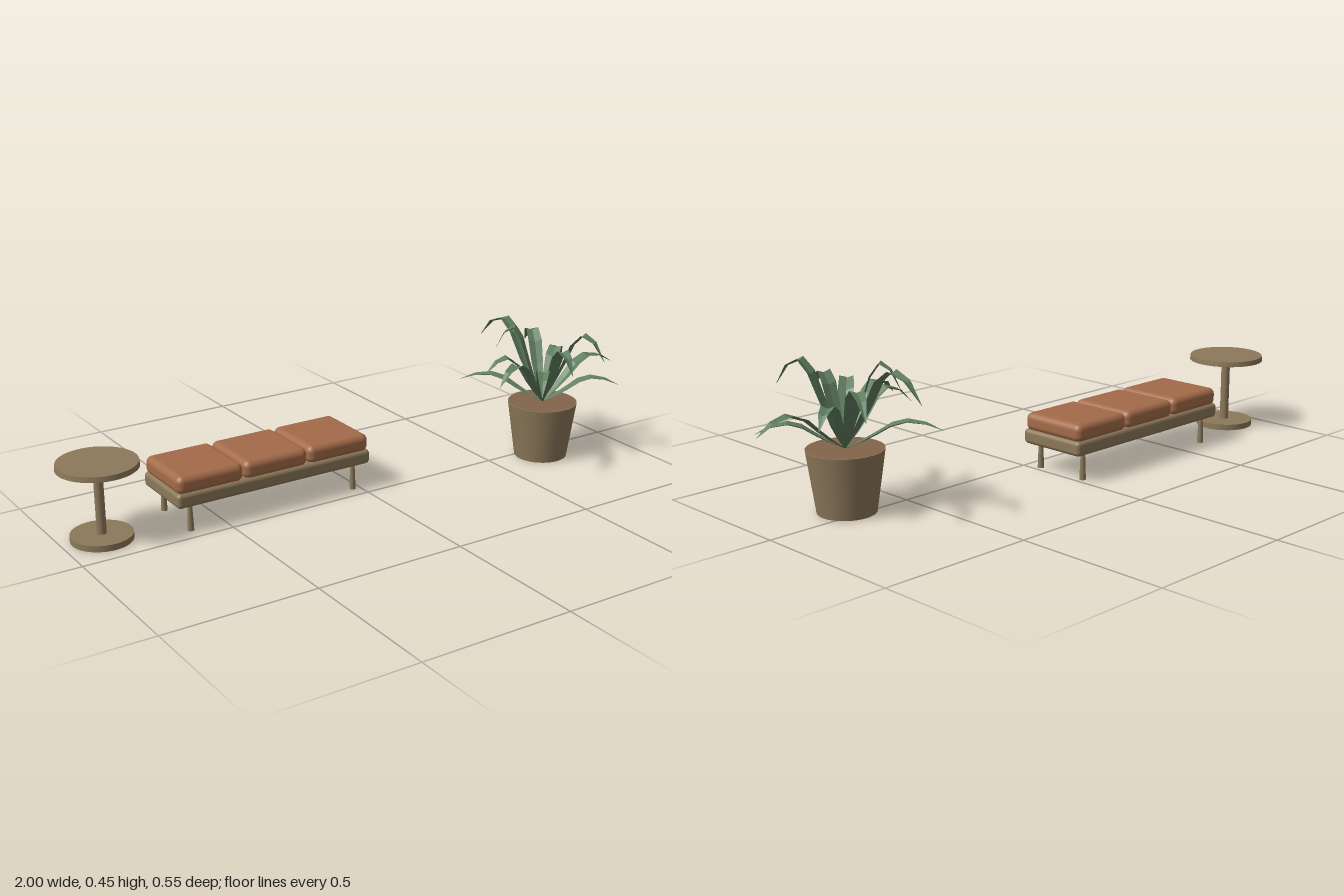
import * as THREE from 'three';
import { RoundedBoxGeometry } from 'three/addons/geometries/RoundedBoxGeometry.js';

const material = (name, color, extra = {}) => {
  const m = new THREE.MeshStandardMaterial({ color, ...extra });
  m.name = name;
  return m;
};

function add(parent, name, geometry, mat, x = 0, y = 0, z = 0) {
  const mesh = new THREE.Mesh(geometry, mat);
  mesh.name = name;
  mesh.position.set(x, y, z);
  parent.add(mesh);
  return mesh;
}

function group(parent, name, x, z) {
  const g = new THREE.Group();
  g.name = name;
  g.position.set(x, 0, z);
  parent.add(g);
  return g;
}

// Arching leaf along +x: [radius, height, half width] as shares of the leaf's size
const LEAF = [
  [0, 0, 0.15], [0.16, 0.25, 0.55], [0.31, 0.52, 0.85], [0.47, 0.85, 1],
  [0.63, 1, 0.9], [0.82, 0.92, 0.6], [1, 0.68, 0.03],
];
function leafGeometry(length, height, halfWidth) {
  const pos = [], index = [];
  LEAF.forEach(([r, h, w], i) => {
    const x = r * length, y = h * height, hw = w * halfWidth;
    // folded cross-section: edge, midrib, edge
    pos.push(x, y + hw * 0.15, hw, x, y - hw * 0.2, 0, x, y + hw * 0.15, -hw);
    if (i === 0) return;
    for (let k = 0; k < 2; k++) {
      const a = (i - 1) * 3 + k, b = a + 3;
      index.push(a, b, a + 1, b, b + 1, a + 1);
    }
  });
  const g = new THREE.BufferGeometry();
  g.setAttribute('position', new THREE.Float32BufferAttribute(pos, 3));
  g.setIndex(index);
  const flat = g.toNonIndexed();
  flat.computeVertexNormals();
  return flat;
}

export function createModel() {
  const model = new THREE.Group();
  model.name = 'loungeSet';
  const wood = material('wood', 0x8b7859);
  const leather = material('leather', 0xa36b49);
  const soil = material('soil', 0x83644a);
  const foliage = material('foliage', 0x5f7d5f, { side: THREE.DoubleSide, flatShading: true });

  // Round side table
  const table = group(model, 'sideTable', -0.873, -0.147);
  add(table, 'tableTop', new THREE.CylinderGeometry(0.125, 0.127, 0.017, 48), wood, 0, 0.2445, 0);
  add(table, 'tableColumn', new THREE.CylinderGeometry(0.015, 0.015, 0.22, 24), wood, 0, 0.127, 0);
  add(table, 'tableBase', new THREE.CylinderGeometry(0.097, 0.097, 0.02, 48), wood, 0, 0.01, 0);

  // Bench with three cushions
  const bench = group(model, 'bench', -0.322, -0.147);
  add(bench, 'benchFrame', new RoundedBoxGeometry(0.698, 0.049, 0.242, 4, 0.014), wood, 0, 0.111, 0);
  for (const i of [-1, 0, 1]) {
    add(bench, 'cushion', new RoundedBoxGeometry(0.228, 0.06, 0.238, 5, 0.022), leather, i * 0.2315, 0.159, 0);
  }
  for (const sx of [-1, 1]) {
    for (const sz of [-1, 1]) {
      add(bench, 'benchLeg', new THREE.CylinderGeometry(0.007, 0.0105, 0.09, 16), wood,
        sx * 0.297, 0.045, sz * 0.092);
    }
  }

  // Potted plant
  const plant = group(model, 'pottedPlant', 0.692, 0.0446);
  add(plant, 'pot', new THREE.CylinderGeometry(0.118, 0.09, 0.194, 48), wood, 0, 0.097, 0);
  const soilDisc = add(plant, 'soil', new THREE.CircleGeometry(0.116, 48), soil, 0, 0.195, 0);
  soilDisc.rotation.x = -Math.PI / 2;

  // Leaves: [compass angle from +x towards +z, length, arch height]
  const leaves = [
    [0, 0.308, 0.135], [32, 0.26, 0.085], [65, 0.22, 0.258], [98, 0.178, 0.212],
    [131, 0.3, 0.17], [164, 0.255, 0.17], [196, 0.215, 0.17], [228, 0.29, 0.085],
    [230, 0.17, 0.258], [262, 0.3, 0.258], [295, 0.265, 0.212], [327, 0.215, 0.16],
  ];
  for (const [angle, length, height] of leaves) {
    const leaf = add(plant, 'leaf', leafGeometry(length, height, 0.024), foliage, 0, 0.193, 0);
    leaf.rotation.y = -THREE.MathUtils.degToRad(angle);
  }
  return model;
}
